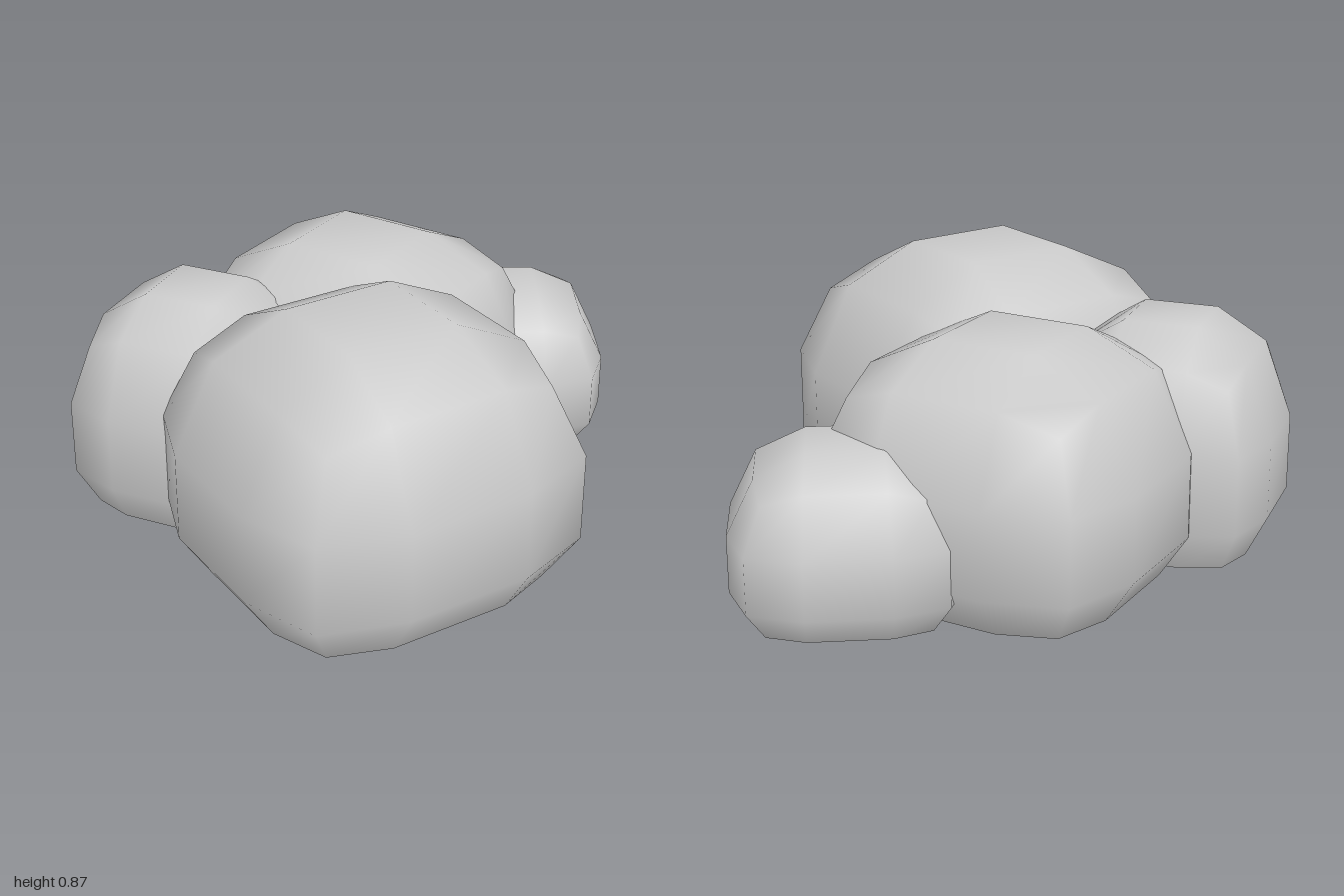
import * as THREE from 'three';
import { mergeVertices } from 'three/addons/utils/BufferGeometryUtils.js';

// Rounded low-poly block with 3 segments per side, flat and open underneath
function puffGeometry() {
  const box = new THREE.BoxGeometry(2, 2, 2, 3, 3, 3);
  box.deleteAttribute('normal');
  box.deleteAttribute('uv');

  // leave out the bottom side (fourth of six)
  const index = Array.from(box.index.array);
  index.splice(3 * 54, 54);
  box.setIndex(index);
  box.clearGroups();
  const geo = mergeVertices(box);

  // each ring of points: height, then reach of its corner, side and inner points
  const rings = [
    { y: 0, corner: 0.39, side: 0.46, inner: 0.2 },
    { y: 0.16, corner: 0.47, side: 0.56, inner: 0.205 },
    { y: 0.46, corner: 0.47, side: 0.56, inner: 0.205 },
    { y: 0.69, corner: 0.39, side: 0.425, inner: 0.195 },
  ];
  const top = { y: 0.87, inner: 0.183 };
  const topSideHeight = 0.752;

  const pos = geo.attributes.position;
  const isOuter = (c) => Math.abs(c) > 0.9;
  for (let i = 0; i < pos.count; i++) {
    const x = pos.getX(i), z = pos.getZ(i);
    const level = Math.round((pos.getY(i) + 1) * 1.5);
    const outer = [x, z].filter(isOuter).length;
    const ring = level === 3 && outer === 0 ? top : rings[level];
    const reach = outer === 2 ? ring.corner : ring.side;
    const place = (c) => Math.sign(c) * (isOuter(c) ? reach : ring.inner);
    const y = level === 3 && outer === 1 ? topSideHeight : ring.y;
    pos.setXYZ(i, place(x), y, place(z));
  }
  geo.computeVertexNormals();
  return geo;
}

export function createModel() {
  const group = new THREE.Group();
  group.name = 'puffCluster';
  const geometry = puffGeometry();
  const material = new THREE.MeshStandardMaterial({ color: 0xcccccc, side: THREE.DoubleSide });

  // name, position, turn in degrees, scale
  const puffs = [
    ['frontPuff', [0.045, 0, 0.375], 30.5, [1.04, 1, 1]],
    ['backPuff', [0.04, 0.003, -0.4], -35, [0.935, 0.905, 0.935]],
    ['rightPuff', [-0.505, 0.008, -0.115], -25.7, [0.67, 0.855, 0.69]],
    ['leftPuff', [0.558, 0.01, -0.585], 0, [0.633, 0.6, 0.633]],
  ];
  for (const [name, position, turn, scale] of puffs) {
    const puff = new THREE.Mesh(geometry, material);
    puff.name = name;
    puff.position.set(...position);
    puff.rotation.y = THREE.MathUtils.degToRad(turn);
    puff.scale.set(...scale);
    group.add(puff);
  }
  return group;
}
